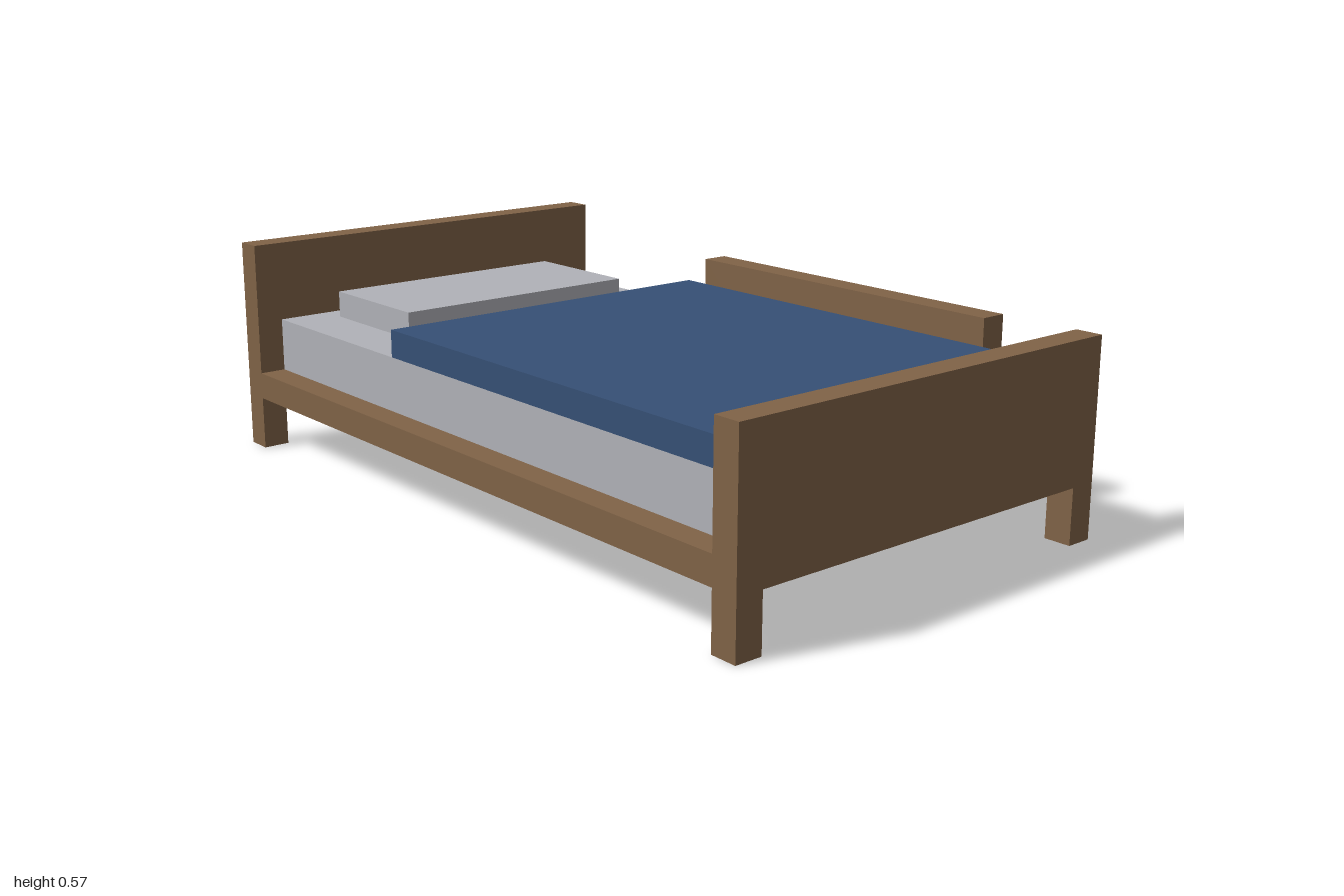
import * as THREE from 'three';

const U = 1 / 14; // one block of the design grid

const wood = new THREE.MeshStandardMaterial({ name: 'brown wood', color: 0x806347 });
const linen = new THREE.MeshStandardMaterial({ name: 'pale grey linen', color: 0xb1b2b8 });
const blue = new THREE.MeshStandardMaterial({ name: 'blue blanket', color: 0x365075 });

// Box given by its minimum and maximum corners in grid units
function box(name, material, [x0, y0, z0], [x1, y1, z1]) {
  const geometry = new THREE.BoxGeometry((x1 - x0) * U, (y1 - y0) * U, (z1 - z0) * U);
  const mesh = new THREE.Mesh(geometry, material);
  mesh.name = name;
  mesh.position.set((x0 + x1) / 2 * U, (y0 + y1) / 2 * U, (z0 + z1) / 2 * U);
  return mesh;
}

// One-unit-thick board standing on two one-unit-wide feet
function archBoard(name, width, height, footHeight) {
  const w = width / 2 * U, h = height * U, f = footHeight * U;
  const shape = new THREE.Shape([
    [-w, 0], [-w + U, 0], [-w + U, f], [w - U, f], [w - U, 0], [w, 0], [w, h], [-w, h],
  ].map(([x, y]) => new THREE.Vector2(x, y)));
  const geometry = new THREE.ExtrudeGeometry(shape, { depth: U, bevelEnabled: false });
  const mesh = new THREE.Mesh(geometry, wood);
  mesh.name = name;
  return mesh;
}

export function createModel() {
  const bed = new THREE.Group();
  bed.name = 'bed';

  // End boards with their legs
  const headboard = archBoard('headboard', 16, 8, 2);
  headboard.position.z = -14 * U;
  const footboard = archBoard('footboard', 16, 7, 2);
  footboard.position.z = 13 * U;

  // Guard rail on the left side only
  const guardRail = archBoard('guardRail', 14, 4, 3);
  guardRail.rotation.y = Math.PI / 2;
  guardRail.position.set(7 * U, 3 * U, 3 * U);

  bed.add(
    headboard, footboard, guardRail,
    box('bedBase', wood, [-8, 2, -13], [8, 3, 13]),
    box('mattress', linen, [-7, 3, -13], [7, 5, 13]),
    box('blanket', blue, [-7, 5, -5], [7, 6, 13]),
    box('pillow', linen, [-5, 5, -12], [5, 6, -7]),
  );
  return bed;
}
